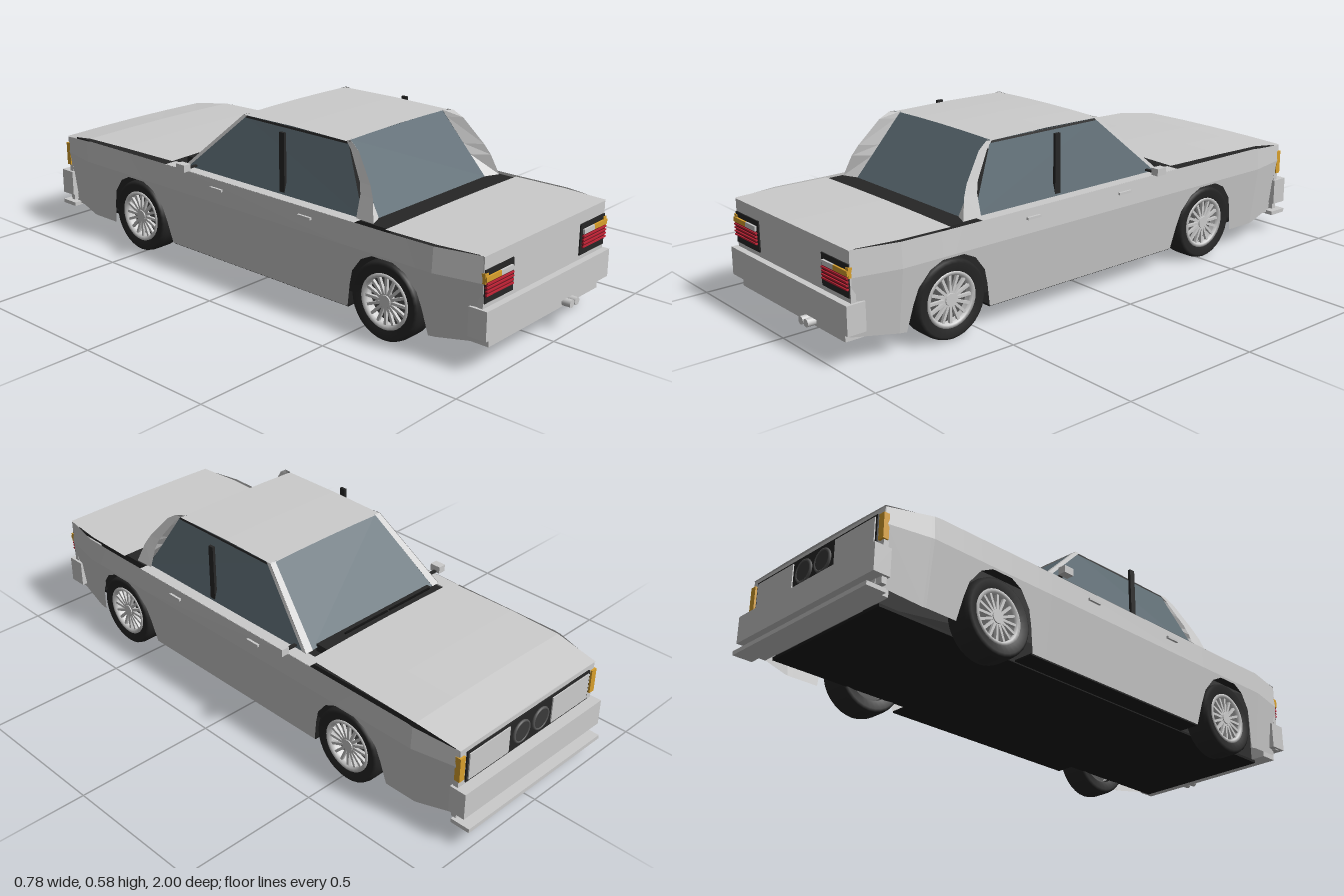
import * as THREE from 'three';

const GREY = 0xcccccc, DARK = 0x262626, GLASS = 0x5b6a72, AMBER = 0xd9a02c, RED = 0xc42336, WHITE = 0xe4e4e4;

export function createModel() {
  const car = new THREE.Group();
  car.name = 'car';
  const mats = {};
  const mat = (color, flat = true) => mats[color + '_' + flat] ??=
    new THREE.MeshStandardMaterial({ color, flatShading: flat, side: THREE.DoubleSide });
  const add = (name, geo, color, parent = car, flat = true) => {
    const m = new THREE.Mesh(geo, mat(color, flat));
    m.name = name;
    parent.add(m);
    return m;
  };
  // box given by its min and max on each axis
  const box = (name, color, x0, x1, y0, y1, z0, z1, parent) => {
    const m = add(name, new THREE.BoxGeometry(Math.abs(x1 - x0), y1 - y0, z1 - z0), color, parent);
    m.position.set((x0 + x1) / 2, (y0 + y1) / 2, (z0 + z1) / 2);
    return m;
  };
  // sheet lofted through rows of points, each row the same length
  const loft = (name, color, rows) => {
    const n = rows[0].length, idx = [];
    for (let i = 0; i < rows.length - 1; i++)
      for (let j = 0; j < n - 1; j++) {
        const a = i * n + j;
        idx.push(a, a + 1, a + n, a + 1, a + n + 1, a + n);
      }
    const g = new THREE.BufferGeometry();
    g.setAttribute('position', new THREE.Float32BufferAttribute(rows.flat(2), 3));
    g.setIndex(idx);
    g.computeVertexNormals();
    return add(name, g, color);
  };
  // piecewise linear lookup
  const lerp = (pts, t) => {
    for (let i = 1; i < pts.length; i++)
      if (t <= pts[i][0]) {
        const [a, b] = [pts[i - 1], pts[i]];
        return b[1] + (a[1] - b[1]) * Math.min(1, (b[0] - t) / (b[0] - a[0]));
      }
    return pts.at(-1)[1];
  };
  // gently crowned panel following [z, y, halfWidth] stations
  const panel = (name, color, stations, crown) => loft(name, color, stations.map(([z, y, w]) =>
    [-1, -0.5, 0, 0.5, 1].map((u) => [u * w, y + crown * (1 - u * u), z])));

  // body sides: outline with wheel arches, bulging section, tapered ends
  const wheelZ = [-0.517, 0.615], wheelY = 0.13;
  const arch = [[-0.158, 0.065], [-0.14, 0.15], [-0.125, 0.2], [-0.085, 0.25], [-0.04, 0.272],
    [0.04, 0.272], [0.085, 0.25], [0.125, 0.2], [0.14, 0.15], [0.158, 0.065]];
  const sill = [[-0.945, 0.09], [-0.8, 0.065], ...wheelZ.flatMap((c) => arch.map(([d, y]) => [c + d, y])), [0.955, 0.09]];
  const top = [[-0.945, 0.338], [-0.77, 0.36], [-0.3, 0.362], [0.61, 0.36], [0.955, 0.363]];
  const section = [[0.06, 0.335], [0.28, 0.364], [0.36, 0.359]];
  const taper = [[-0.945, 0.032], [-0.79, 0], [0.8, 0], [0.955, 0.032]];
  const zs = [...sill, ...top, ...taper].map((p) => p[0]).sort((a, b) => a - b);
  for (const s of [1, -1])
    loft('bodySide', GREY, zs.map((z) => {
      const y0 = lerp(sill, z), y1 = lerp(top, z);
      return [y0, Math.max(y0, 0.28), y1].map((y) => [s * (lerp(section, y) - lerp(taper, z)), y, z]);
    }));

  // floor, inner walls and dark deck under the panels
  box('floor', 0x1a1a1a, -0.26, 0.26, 0.058, 0.068, -0.9, 0.9);
  box('deck', DARK, -0.325, 0.325, 0.335, 0.345, -0.9, 0.93);
  box('rearDeck', DARK, -0.335, 0.335, 0.345, 0.36, 0.44, 0.62);
  box('cowl', DARK, -0.265, 0.265, 0.345, 0.372, -0.35, -0.295);
  for (const s of [1, -1]) {
    box('innerWall', DARK, s * 0.235, s * 0.245, 0.065, 0.338, -0.9, 0.9);
    box('sillFloor', 0x1a1a1a, s * 0.26, s * 0.332, 0.062, 0.068, -0.36, 0.457);
    loft('beltShelf', GREY, [[[s * 0.36, 0.361, -0.36], [s * 0.36, 0.36, 0.5]],
      [[s * 0.31, 0.361, -0.36], [s * 0.31, 0.36, 0.5]]]);
  }

  // hood, boot lid, end panels
  panel('hood', GREY, [[-0.95, 0.34, 0.33], [-0.79, 0.364, 0.345], [-0.6, 0.369, 0.345], [-0.345, 0.371, 0.34]], 0.005);
  panel('bootLid', GREY, [[0.61, 0.361, 0.345], [0.8, 0.363, 0.345], [0.96, 0.365, 0.328]], 0.003);
  box('nosePanel', GREY, -0.328, 0.328, 0.09, 0.338, -0.948, -0.93);
  box('tailPanel', GREY, -0.328, 0.328, 0.105, 0.362, 0.94, 0.958);
  box('rearValance', GREY, -0.3, 0.3, 0.075, 0.108, 0.9, 0.965);

  // bumpers and front splitter
  box('rearBumper', GREY, -0.337, 0.337, 0.108, 0.202, 0.915, 0.98);
  box('frontBumper', GREY, -0.337, 0.337, 0.112, 0.204, -0.985, -0.925);
  box('frontSplitter', GREY, -0.328, 0.328, 0.064, 0.078, -1, -0.93);
  box('frontValance', GREY, -0.3, 0.3, 0.07, 0.112, -0.95, -0.9);

  // exhaust tips
  for (const x of [0.103, 0.132]) {
    const tip = add('exhaustTip', new THREE.CylinderGeometry(0.013, 0.013, 0.1, 16), GREY, car, false);
    tip.rotation.x = Math.PI / 2;
    tip.position.set(x, 0.09, 0.945);
  }

  // front lights: dark grille, pale side panels, round centre lamps, amber corners
  box('grille', DARK, -0.3, 0.3, 0.212, 0.322, -0.953, -0.94);
  for (const s of [1, -1]) {
    box('headlightPanel', GREY, s * 0.105, s * 0.292, 0.22, 0.314, -0.957, -0.945);
    box('frontIndicator', AMBER, s * 0.31, s * 0.333, 0.23, 0.315, -0.955, -0.935);
    const rim = add('lampRing', new THREE.TorusGeometry(0.036, 0.005, 8, 24), 0x555555, car, false);
    rim.position.set(s * 0.047, 0.267, -0.956);
    const lens = add('lampLens', new THREE.CylinderGeometry(0.033, 0.033, 0.012, 24), 0x3a3a3a, car, false);
    lens.rotation.x = Math.PI / 2;
    lens.position.set(s * 0.047, 0.267, -0.953);
  }

  // tail lights: dark housing, reversing lamp, indicator, ribbed red lamp
  for (const s of [1, -1]) {
    box('tailLightHousing', DARK, s * 0.183, s * 0.326, 0.218, 0.321, 0.945, 0.962);
    box('reversingLamp', WHITE, s * 0.195, s * 0.255, 0.287, 0.303, 0.95, 0.969);
    box('rearIndicator', AMBER, s * 0.255, s * 0.33, 0.287, 0.303, 0.94, 0.969);
    box('rearIndicatorSide', AMBER, s * 0.315, s * 0.331, 0.28, 0.312, 0.935, 0.965);
    box('brakeLamp', 0x6e1620, s * 0.194, s * 0.325, 0.24, 0.284, 0.945, 0.966);
    for (let i = 0; i < 4; i++)
      box('brakeLampRib', RED, s * 0.192, s * 0.326, 0.243 + i * 0.0115, 0.248 + i * 0.0115, 0.95, 0.97);
  }

  // roof and glass
  panel('roof', GREY, [[-0.075, 0.57, 0.255], [0.15, 0.573, 0.256], [0.38, 0.57, 0.258]], 0.004);
  const quad = (name, color, a, b, c, d) => loft(name, color, [[a, b], [d, c]]);
  quad('windscreen', GLASS, [-0.288, 0.36, -0.3], [0.288, 0.36, -0.3], [0.236, 0.571, -0.07], [-0.236, 0.571, -0.07]);
  quad('rearWindow', GLASS, [-0.278, 0.36, 0.53], [0.278, 0.36, 0.53], [0.236, 0.571, 0.375], [-0.236, 0.571, 0.375]);
  for (const s of [1, -1]) {
    quad('sideWindow', GLASS, [s * 0.317, 0.36, -0.295], [s * 0.317, 0.36, 0.5], [s * 0.256, 0.57, 0.385], [s * 0.254, 0.57, -0.068]);
    // windscreen pillar
    quad('windscreenPillar', GREY, [s * 0.288, 0.36, -0.302], [s * 0.318, 0.36, -0.302], [s * 0.256, 0.572, -0.072], [s * 0.234, 0.572, -0.072]);
    quad('windscreenPillarSide', GREY, [s * 0.319, 0.36, -0.303], [s * 0.319, 0.36, -0.285], [s * 0.257, 0.572, -0.055], [s * 0.257, 0.572, -0.073]);
    quad('windowTopTrim', DARK, [s * 0.258, 0.563, -0.06], [s * 0.26, 0.563, 0.385], [s * 0.258, 0.57, 0.385], [s * 0.256, 0.57, -0.07]);
    // rear pillar: window edge, curved outer edge, return to the rear glass
    loft('rearPillar', GREY, [
      [0.572, 0.38, 0.258, 0.405, 0.26, 0.236, 0.375],
      [0.55, 0.405, 0.266, 0.44, 0.268, 0.24, 0.392],
      [0.465, 0.465, 0.293, 0.51, 0.296, 0.257, 0.453],
      [0.43, 0.477, 0.304, 0.53, 0.308, 0.264, 0.478],
      [0.36, 0.48, 0.326, 0.552, 0.33, 0.278, 0.53],
    ].map(([y, z0, x0, z1, x1, x2, z2]) => [[s * x0, y, z0], [s * x1, y, z1], [s * x2, y, z2]]));
    // upright door post, mirror, handles, wiper
    box('doorPost', DARK, s * 0.305, s * 0.315, 0.355, 0.566, 0.145, 0.167);
    box('mirror', GREY, s * 0.361, s * 0.39, 0.366, 0.391, -0.268, -0.228);
    box('mirrorArm', DARK, s * 0.315, s * 0.365, 0.367, 0.373, -0.256, -0.244);
    for (const z of [0.3, -0.1]) box('doorHandle', GREY, s * 0.358, s * 0.369, 0.326, 0.334, z - 0.027, z + 0.027);
  }
  for (const x of [-0.15, 0.06]) box('wiper', 0x111111, x - 0.1, x + 0.1, 0.372, 0.377, -0.322, -0.316);

  // wheels: rounded tyre, rim ring, thin spokes, hub
  const tyreProfile = [[0.088, -0.042], [0.118, -0.05], [0.127, -0.044], [0.13, -0.03], [0.13, 0.03],
    [0.127, 0.044], [0.118, 0.05], [0.088, 0.042]].map((p) => new THREE.Vector2(...p));
  const rimProfile = [[0.076, 0.034], [0.08, 0.044], [0.091, 0.045], [0.091, 0.03], [0.082, -0.04]].map((p) => new THREE.Vector2(...p));
  for (const s of [1, -1])
    for (const z of wheelZ) {
      const wheel = new THREE.Group();
      wheel.name = 'wheel';
      wheel.position.set(s * 0.305, wheelY, z);
      wheel.rotation.z = -s * Math.PI / 2;
      car.add(wheel);
      add('tyre', new THREE.LatheGeometry(tyreProfile, 32), DARK, wheel, false);
      add('rim', new THREE.LatheGeometry(rimProfile, 32), GREY, wheel, false);
      add('brakeDisc', new THREE.CylinderGeometry(0.084, 0.084, 0.01, 24), 0x555555, wheel);
      add('hub', new THREE.CylinderGeometry(0.02, 0.026, 0.02, 16), GREY, wheel).position.y = 0.032;
      for (let i = 0; i < 16; i++) {
        const a = (i / 16) * Math.PI * 2;
        const spoke = add('spoke', new THREE.BoxGeometry(0.062, 0.01, 0.009), GREY, wheel);
        spoke.position.set(Math.cos(a) * 0.05, 0.034, Math.sin(a) * 0.05);
        spoke.rotation.y = -a;
      }
    }
  return car;
}
